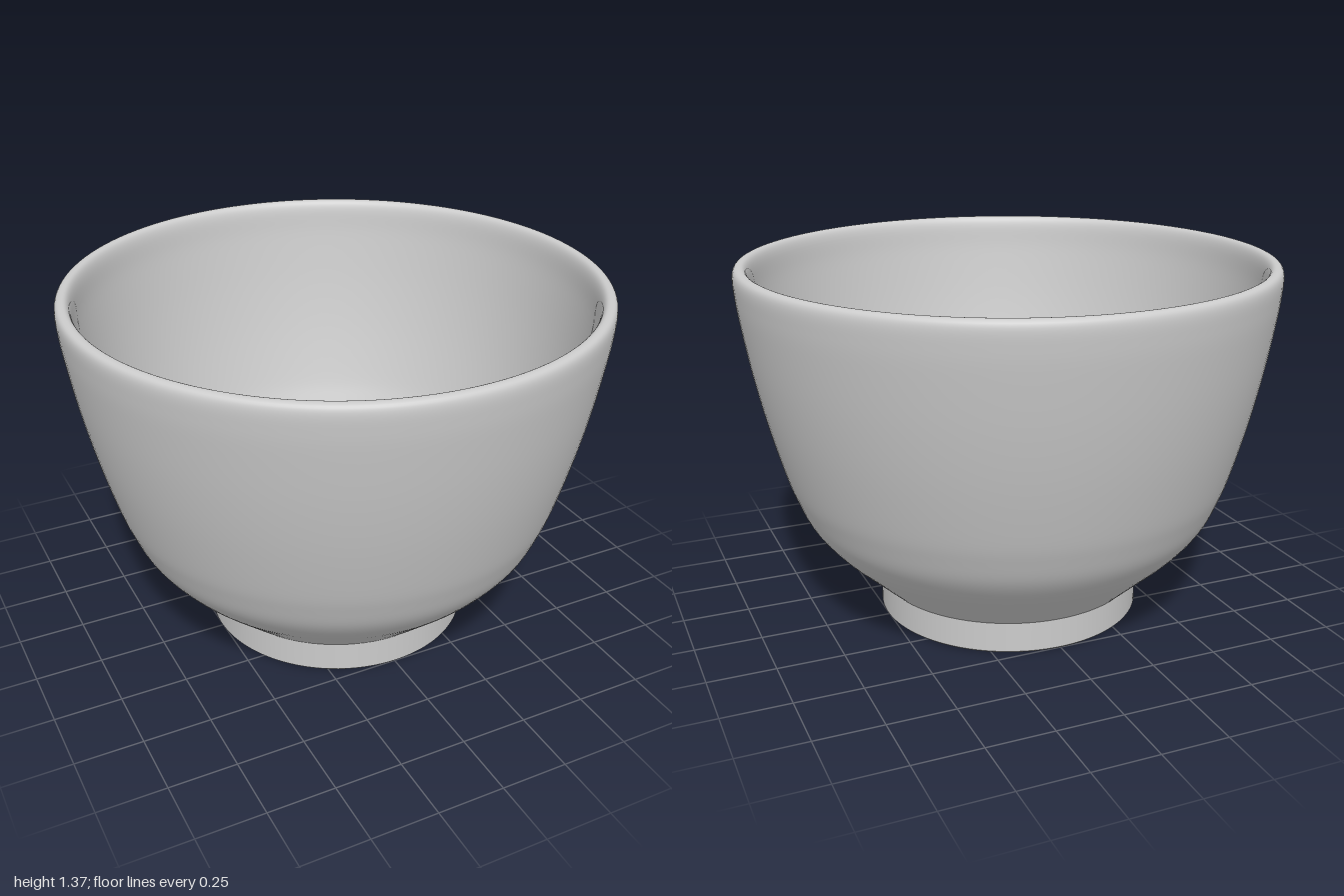
import * as THREE from 'three';

const THICKNESS = 0.06;
const HEIGHT = 1.365;
const FOOT_RADIUS = 0.505;
const FOOT_HEIGHT = 0.12;
const WELL_RADIUS = FOOT_RADIUS - THICKNESS;

const v = (x, y) => new THREE.Vector2(x, y);

// Revolve a profile; outside runs upward, inside runs downward
function turned(name, points, material) {
  const mesh = new THREE.Mesh(new THREE.LatheGeometry(points, 128), material);
  mesh.name = name;
  return mesh;
}

export function createModel() {
  const group = new THREE.Group();
  group.name = 'bowl';
  const material = new THREE.MeshStandardMaterial({ color: 0xcccccc });

  // Outer wall curve, from the foot up to just below the rim
  const wall = new THREE.SplineCurve([
    v(FOOT_RADIUS, FOOT_HEIGHT), v(0.6, 0.208), v(0.7, 0.303), v(0.777, 0.4),
    v(0.823, 0.5), v(0.858, 0.6), v(0.912, 0.8), v(0.955, 1.0), v(0.988, 1.2), v(0.998, 1.29),
  ]);
  const outer = [];
  const inner = [];
  const steps = 44;
  for (let i = 0; i <= steps; i++) {
    const p = wall.getPoint(i / steps);
    const t = wall.getTangent(i / steps);
    outer.push(p);
    // Inner wall is the outer one offset by the wall thickness
    inner.unshift(v(p.x - t.y * THICKNESS, p.y + t.x * THICKNESS));
  }

  // Softly rounded rim joining both walls
  const rim = new THREE.CubicBezierCurve(
    outer[steps], v(1.003, 1.345), v(0.998, HEIGHT), v(0.97, HEIGHT)
  ).getPoints(10).slice(1);
  const lip = new THREE.CubicBezierCurve(
    v(0.97, HEIGHT), v(0.95, HEIGHT), v(0.942, 1.34), inner[0]
  ).getPoints(10).slice(1, -1);

  const wellTop = 0.146;
  group.add(
    turned('bowlWall', [...outer, ...rim, ...lip, ...inner, v(WELL_RADIUS, wellTop)], material),
    turned('footRing', [v(FOOT_RADIUS, 0.006), v(FOOT_RADIUS, FOOT_HEIGHT)], material),
    turned('footBase', [v(0, 0), v(FOOT_RADIUS - 0.006, 0), v(FOOT_RADIUS, 0.006)], material),
    // Shallow recessed well inside the foot
    turned('wellSide', [v(WELL_RADIUS, wellTop), v(WELL_RADIUS, THICKNESS)], material),
    turned('wellFloor', [v(WELL_RADIUS, THICKNESS), v(0, THICKNESS)], material)
  );
  return group;
}
